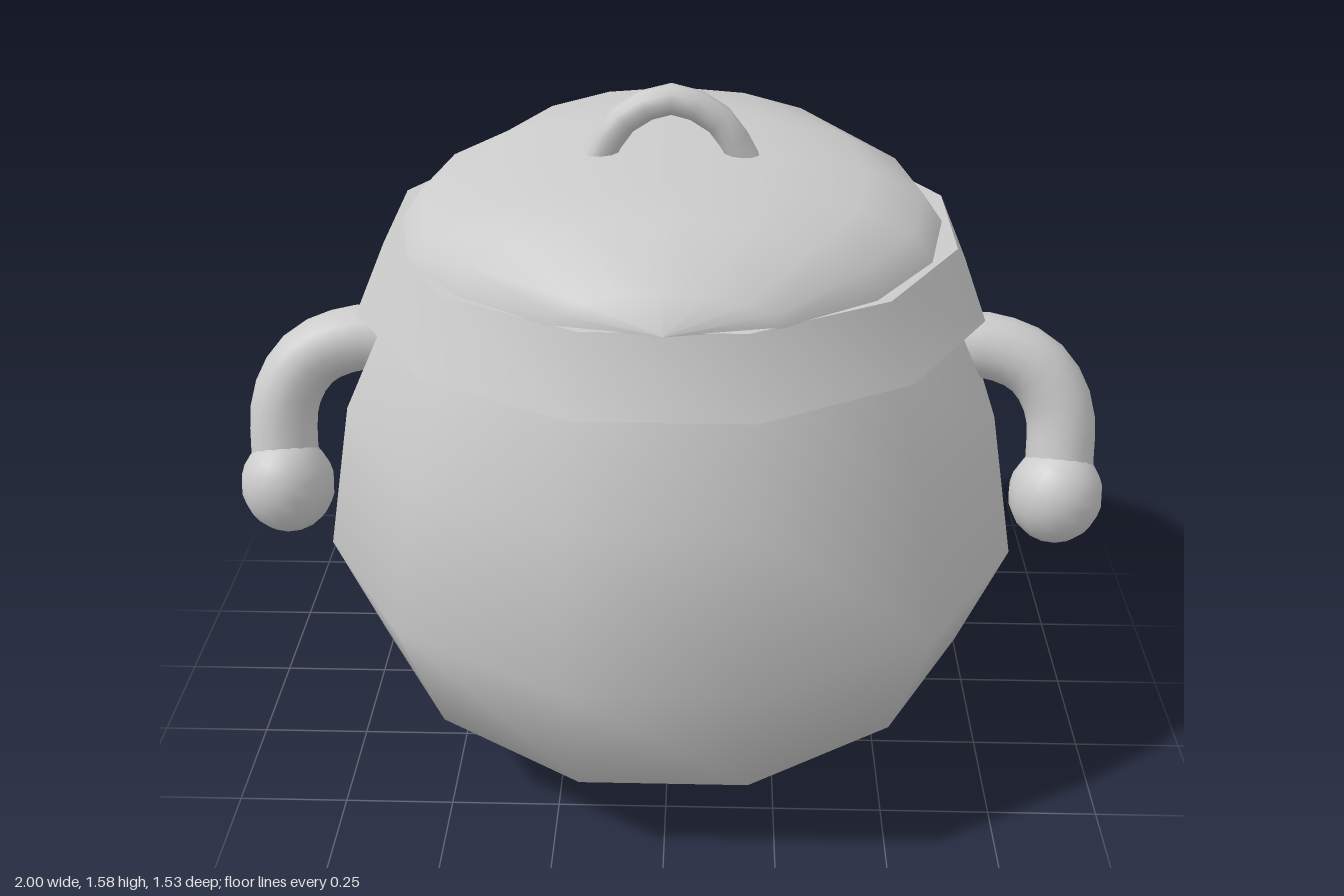
import * as THREE from 'three';
import { mergeVertices, toCreasedNormals } from 'three/addons/utils/BufferGeometryUtils.js';

const material = new THREE.MeshStandardMaterial({ color: 0xcccccc, side: THREE.DoubleSide });

function part(name, geometry, parent) {
  const mesh = new THREE.Mesh(geometry, material);
  mesh.name = name;
  parent.add(mesh);
  return mesh;
}

// Move every vertex by a rule, then recompute normals without seams
function reshape(geometry, rule) {
  const p = geometry.attributes.position;
  const v = new THREE.Vector3();
  for (let i = 0; i < p.count; i++) {
    v.fromBufferAttribute(p, i);
    rule(v);
    p.setXYZ(i, v.x, v.y, v.z);
  }
  geometry.deleteAttribute('uv');
  geometry.deleteAttribute('normal');
  const merged = mergeVertices(geometry, 1e-4);
  merged.computeVertexNormals();
  return merged;
}

// Twelve-sided turned shape with flats facing the axes
function turned(profile, zScale) {
  const points = profile.map(([r, y]) => new THREE.Vector2(r, y));
  const geometry = new THREE.LatheGeometry(points, 12, Math.PI / 12);
  return geometry.scale(1, 1, zScale);
}

function tube(points, radius, segments, sides) {
  const curve = new THREE.CatmullRomCurve3(points.map((p) => new THREE.Vector3(...p)));
  return new THREE.TubeGeometry(curve, segments, radius, sides);
}

// Lid dome: half rings along z, flat through the middle and falling at both ends
function lidDome() {
  const radius = 0.605, n = 16;
  const heights = [0, 0.41, 1, 1, 1, 1, 1, 0.41, 0];
  const positions = [], index = [];
  heights.forEach((h, i) => {
    const a = (i / 8) * Math.PI;
    for (let j = 0; j <= 8; j++) {
      const b = (j / 8) * Math.PI;
      positions.push(radius * Math.sin(a) * Math.cos(b), 1.27 + 0.17 * h * Math.sin(b), -radius * Math.cos(a));
      if (i < n / 2 && j < 8) {
        const k = i * 9 + j;
        index.push(k, k + 1, k + 9, k + 1, k + 10, k + 9);
      }
    }
  });
  // Order the corners so that the faces look upward
  for (let i = 0; i < index.length; i += 3) [index[i + 1], index[i + 2]] = [index[i + 2], index[i + 1]];
  const geometry = new THREE.BufferGeometry();
  geometry.setAttribute('position', new THREE.Float32BufferAttribute(positions, 3));
  geometry.setIndex(index);
  geometry.computeVertexNormals();
  return geometry;
}

export function createModel() {
  const model = new THREE.Group();
  model.name = 'cookingPot';

  // Bulging body, its lowest edge rising towards the sides
  const body = turned([[0, 0.09], [0.24, 0.09], [0.715, 0.21], [0.82, 0.53], [0.755, 0.88], [0.645, 1.11], [0.61, 1.2]], 0.965);
  part('body', reshape(body, (v) => {
    if (Math.abs(v.y - 0.21) < 0.01) v.y += 0.05 * (v.x / 0.7) ** 2;
  }), model);

  // Lid with a sloping rim, a dome and an arched grip
  const lid = new THREE.Group();
  lid.name = 'lid';
  model.add(lid);
  const rim = turned([[0.6, 1.115], [0.715, 1.11], [0.642, 1.272], [0.4, 1.272]], 0.95);
  part('lidRim', toCreasedNormals(rim, 0.7), lid);
  part('lidDome', lidDome(), lid);
  part('lidGrip', tube([[-0.165, 1.41, 0.01], [-0.105, 1.505, 0.01], [0, 1.552, 0.01], [0.105, 1.505, 0.01], [0.165, 1.41, 0.01]], 0.034, 8, 10), lid);

  for (const s of [1, -1]) {
    const side = s > 0 ? 'left' : 'right';

    // Drooping handle ending in a ball
    const handle = new THREE.Group();
    handle.name = side + 'Handle';
    model.add(handle);
    const path = [[0.58, 0.98, 0.04], [0.72, 0.99, 0.05], [0.83, 0.95, 0.07], [0.89, 0.86, 0.1], [0.9, 0.7, 0.145]];
    part(side + 'HandleArm', tube(path.map(([x, y, z]) => [x * s, y, z]), 0.077, 12, 14), handle);
    const ball = part(side + 'HandleBall', new THREE.SphereGeometry(1, 16, 12), handle);
    ball.scale.set(0.107, 0.119, 0.107);
    ball.position.set(0.892 * s, 0.665, 0.165);
    ball.rotation.x = 0.25;

    // Tapered four-sided foot
    part(side + 'Foot', reshape(new THREE.BoxGeometry(1, 1, 1), (v) => {
      const outer = v.x * s > 0;
      const top = v.y > 0;
      v.x = s * (top ? (outer ? 0.49 : 0.16) : (outer ? 0.4 : 0.31));
      v.y = top ? (outer ? 0.16 : 0.1) : 0;
      v.z = Math.sign(v.z) * (top ? 0.225 : 0.05);
    }), model);
  }
  return model;
}
